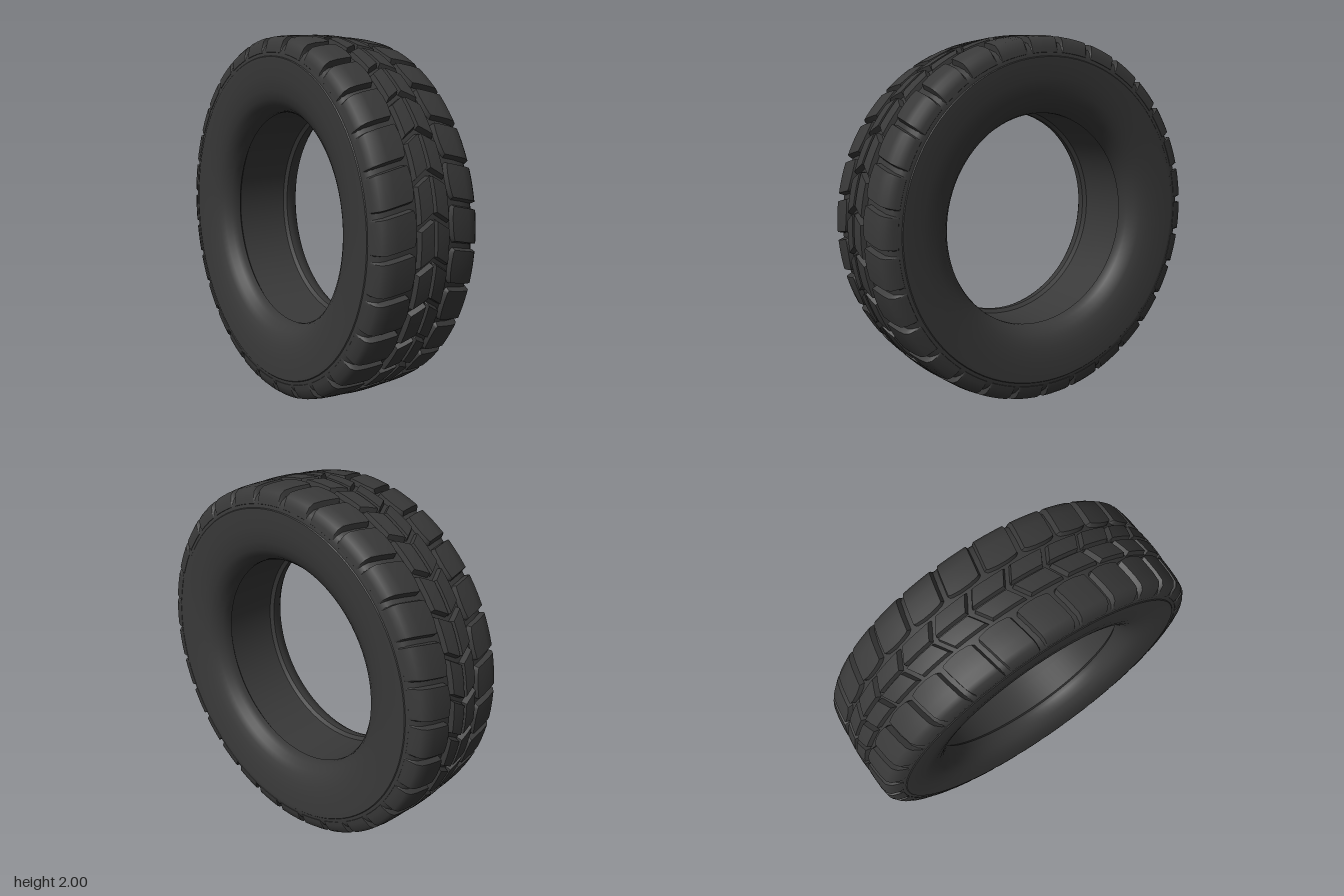
import * as THREE from 'three';
import { toCreasedNormals } from 'three/addons/utils/BufferGeometryUtils.js';

const PITCHES = 30;
const STEP = (Math.PI * 2) / PITCHES;

// Half cross-section of the carcass as [radius, x], from inner barrel to crown
const HALF = [
  [0.605, 0], [0.605, 0.155], [0.585, 0.17], [0.585, 0.195], [0.597, 0.225],
  [0.622, 0.258], [0.655, 0.28], [0.70, 0.295], [0.77, 0.307], [0.868, 0.311],
  [0.877, 0.311], [0.881, 0.307], [0.905, 0.305], [0.93, 0.292], [0.951, 0.268],
  [0.964, 0.2], [0.970, 0.1], [0.972, 0],
];

function carcassGeometry() {
  const lower = HALF.map(([r, x]) => new THREE.Vector2(r, -x));
  const upper = HALF.slice(0, -1).reverse().map(([r, x]) => new THREE.Vector2(r, x));
  const g = new THREE.LatheGeometry([...lower, ...upper], 90);
  g.rotateZ(-Math.PI / 2);
  return toCreasedNormals(g, 0.6);
}

// One raised tread block; rows are [top x, top radius, foot x, foot radius]
function blockGeometry(rows, side, length, skew, bow) {
  const along = [0, 0.055, 0.12, 0.36, 0.64, 0.88, 0.945, 1];
  const nu = rows.length + 2, nv = along.length;
  const pos = [], index = [];
  for (let i = 0; i < nu; i++) {
    const row = rows[Math.min(Math.max(i - 1, 0), rows.length - 1)];
    for (let j = 0; j < nv; j++) {
      const v = along[j];
      const foot = i === 0 || i === nu - 1 || j === 0 || j === nv - 1;
      let x = foot ? row[2] : row[0];
      const r = foot ? row[3] : row[1];
      if (i === 0) x -= 0.006;
      // Round off the corners on the inner edge
      if (i < 2) x += bow * Math.pow(2 * v - 1, 4);
      const a = (v - 0.5) * length - skew * x;
      pos.push(side * x, r * Math.sin(a), r * Math.cos(a));
    }
  }
  for (let i = 0; i < nu - 1; i++) {
    for (let j = 0; j < nv - 1; j++) {
      const a = i * nv + j, b = a + nv, c = b + 1, d = a + 1;
      if (side > 0) index.push(a, b, c, a, c, d);
      else index.push(a, c, b, a, d, c);
    }
  }
  const g = new THREE.BufferGeometry();
  g.setAttribute('position', new THREE.Float32BufferAttribute(pos, 3));
  g.setIndex(index);
  return toCreasedNormals(g, 0.6);
}

const SHOULDER_ROWS = [
  [0.112, 0.994, 0.112, 0.966], [0.16, 0.993, 0.16, 0.964], [0.22, 0.989, 0.22, 0.958],
  [0.268, 0.981, 0.262, 0.948], [0.29, 0.962, 0.278, 0.936],
  [0.303, 0.925, 0.294, 0.92], [0.307, 0.9, 0.304, 0.897],
];
const CENTRE_ROWS = [
  [0.01, 1.0, 0.01, 0.968], [0.05, 0.999, 0.05, 0.968],
  [0.085, 0.996, 0.092, 0.966],
];

export function createModel() {
  const rubber = new THREE.MeshStandardMaterial({ color: 0x393939 });
  rubber.name = 'dark rubber';

  const model = new THREE.Group();
  model.name = 'tyre';
  const wheel = new THREE.Group();
  wheel.name = 'tyreBody';
  wheel.position.y = 1;
  model.add(wheel);

  // Sidewalls, beads, barrel and groove floor
  const carcass = new THREE.Mesh(carcassGeometry(), rubber);
  carcass.name = 'carcass';
  wheel.add(carcass);

  // Tread: a chevron pair in the middle, a wide block on each shoulder
  for (const side of [1, -1]) {
    const label = side > 0 ? 'left' : 'right';
    const shoulder = blockGeometry(SHOULDER_ROWS, side, STEP * 0.89, 0.2, 0.02);
    const centre = blockGeometry(CENTRE_ROWS, side, STEP * 0.9, 0.6, 0);
    const rows = [
      [shoulder, label + 'ShoulderBlock', 0.5],
      [centre, label + 'CentreBlock', 0.12],
    ];
    for (const [geometry, name, phase] of rows) {
      for (let k = 0; k < PITCHES; k++) {
        const block = new THREE.Mesh(geometry, rubber);
        block.name = name;
        block.rotation.x = -(k + phase) * STEP;
        wheel.add(block);
      }
    }
  }
  return model;
}
